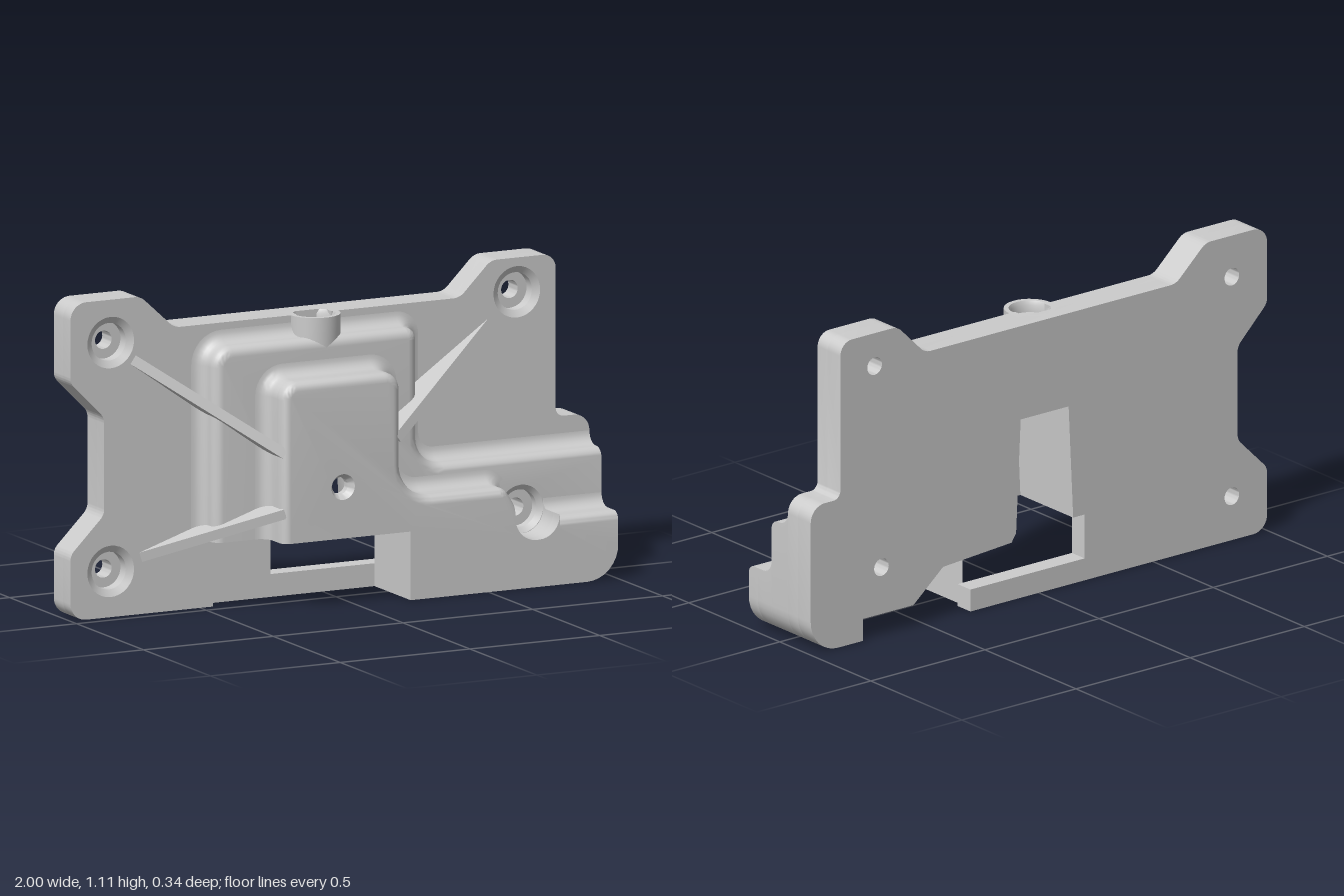
import * as THREE from 'three';
import { mergeGeometries, toCreasedNormals } from 'three/addons/utils/BufferGeometryUtils.js';

const material = new THREE.MeshStandardMaterial({ color: 0xcccccc });
const openMaterial = new THREE.MeshStandardMaterial({ color: 0xcccccc, side: THREE.DoubleSide });

// Outline from corners [x, y, radius, fillet]; edges marked with fillet move outwards by d
function outline(corners, d = 0) {
  const n = corners.length;
  const normal = (i) => {
    const a = corners[i], b = corners[(i + 1) % n];
    return new THREE.Vector2(b[1] - a[1], a[0] - b[0]).normalize();
  };
  const moved = corners.map(([x, y, r = 0, f = 0], i) => {
    const k = (i + n - 1) % n, f0 = corners[k][3] || 0;
    const a = normal(k), b = normal(i), det = a.x * b.y - a.y * b.x;
    const p = new THREE.Vector2(x + d * (f0 * b.y - f * a.y) / det, y + d * (a.x * f - b.x * f0) / det);
    const radius = r ? Math.max(0.004, r + (f && f0 ? d * Math.sign(det) : 0)) : 0;
    return { p, radius };
  });
  const points = [];
  moved.forEach(({ p, radius }, i) => {
    if (!radius) { points.push(p); return; }
    const u = moved[(i + n - 1) % n].p.clone().sub(p).normalize();
    const v = moved[(i + 1) % n].p.clone().sub(p).normalize();
    const turn = Math.PI - Math.acos(THREE.MathUtils.clamp(u.dot(v), -1, 1));
    const t = radius * Math.tan(turn / 2), w = Math.cos(turn / 2);
    const a = p.clone().addScaledVector(u, t), b = p.clone().addScaledVector(v, t);
    for (let j = 0; j <= 8; j++) {
      const s = j / 8, A = (1 - s) ** 2, P = 2 * s * (1 - s) * w, B = s * s, W = A + P + B;
      points.push(new THREE.Vector2((A * a.x + P * p.x + B * b.x) / W, (A * a.y + P * p.y + B * b.y) / W));
    }
  });
  return points;
}

function cap(points, z, holes = [], back = false) {
  const shape = new THREE.Shape(points);
  holes.forEach(([x, y, r]) => shape.holes.push(new THREE.Path().absarc(x, y, r, 0, Math.PI * 2, true)));
  const geo = new THREE.ShapeGeometry(shape, 16).translate(0, 0, z);
  if (back) geo.setIndex([...geo.index.array].reverse());
  return geo;
}

// Stack of outlines along z following a profile of [offset, z]
function layer(corners, profile, { front, back } = {}) {
  const rings = profile.map(([d]) => outline(corners, d));
  const m = rings[0].length, pos = [], index = [];
  rings.forEach((ring, k) => ring.forEach((p) => pos.push(p.x, p.y, profile[k][1])));
  for (let k = 0; k < rings.length - 1; k++) {
    for (let i = 0; i < m; i++) {
      const a = k * m + i, b = k * m + (i + 1) % m;
      index.push(a, b, b + m, a, b + m, a + m);
    }
  }
  const wall = new THREE.BufferGeometry();
  wall.setAttribute('position', new THREE.Float32BufferAttribute(pos, 3));
  wall.setIndex(index);
  const parts = [wall];
  if (front) parts.push(cap(rings.at(-1), profile.at(-1)[1], front));
  if (back) parts.push(cap(rings[0], profile[0][1], back, true));
  const plain = parts.map((g) => {
    const q = g.toNonIndexed();
    q.deleteAttribute('uv');
    q.deleteAttribute('normal');
    return q;
  });
  return toCreasedNormals(mergeGeometries(plain), 0.55);
}

// Quarter rounds: hollow at the foot of a step, rounded at its top
const foot = (z, r) => [0, 1, 2, 3, 4, 5, 6].map((i) => {
  const a = i / 6 * Math.PI / 2;
  return [r * (1 - Math.sin(a)), z + r * (1 - Math.cos(a))];
});
const brow = (z, r) => [0, 1, 2, 3, 4, 5, 6].map((i) => {
  const a = i / 6 * Math.PI / 2;
  return [-r * (1 - Math.cos(a)), z - r + r * Math.sin(a)];
});

export function createModel() {
  const group = new THREE.Group();
  const add = (name, geo, mat = material) => {
    const mesh = new THREE.Mesh(geo, mat);
    mesh.name = name;
    group.add(mesh);
    return mesh;
  };

  // Shared runs of corners: rear slot, lower cavity, outer edge of the plate
  const slot = [[-0.15, 0.24], [-0.13, 0.65], [0.08, 0.65], [0.1, 0.24]];
  const cavity = [[0.28, 0], [0.28, 0.2], [0.42, 0.19], [0.55, 0.08], [0.77, 0.08], [0.77, 0]];
  const leg = [[0.2, 0.24], [0.2, 0]];
  const rightEdge = [[1, 0, 0.12], [1, 0.54, 0.06], [0.87, 0.54, 0.03], [0.87, 1.11, 0.05],
    [0.62, 1.11, 0.06], [0.5, 0.99, 0.06]];
  const leftEdge = [[-0.6, 0.99, 0.06], [-0.73, 1.11, 0.06], [-1, 1.11, 0.06], [-1, 0.83, 0.05],
    [-0.87, 0.7, 0.05], [-0.87, 0.36, 0.05], [-1, 0.23, 0.05], [-1, 0, 0.06]];
  const bossCut = [[0.005, 0.99], [0.005, 0.93], [-0.125, 0.93], [-0.125, 0.99]];

  // Mounting holes
  const ears = [[-0.845, 0.96], [0.72, 0.99], [-0.845, 0.16]];
  const armHole = [0.69, 0.25];
  const drills = [...ears, armHole].map(([x, y]) => [x, y, 0.032]);

  // Base plate, with the thin bar closing the window below
  add('plateBack', layer([[0.3, 0], [0.3, 0.08], [-0.2, 0.08], [-0.2, 0.24], ...slot, [0.12, 0.21],
    ...cavity.slice(2), ...rightEdge, ...leftEdge], [[0, -0.17], [0, -0.1]], { front: drills, back: drills }));
  add('plateFront', layer([[-0.45, 0], [-0.45, 0.24], ...slot, ...leg, ...cavity, ...rightEdge, ...bossCut,
    ...leftEdge], [[0, -0.1], [0, -0.045]],
  { front: [...ears.map(([x, y]) => [x, y, 0.09]), [...armHole, 0.085]] }));

  // Lower step with its side arm
  add('lowerStep', layer([[-0.49, 0.24], ...slot, ...leg, ...cavity, [1, 0, 0.12], [1, 0.435, 0, 1],
    [0.295, 0.435, 0.1, 1], [0.295, 0.92, 0.04, 1], [-0.49, 0.92, 0.07, 1]].map((c, i, all) =>
    (i === all.length - 1 ? [c[0], c[1], c[2], 1] : c)),
  [...foot(-0.045, 0.045), ...brow(0.045, 0.035)], { front: [[...armHole, 0.085]] }));

  // Upper step: hollow lower half, closed front half
  const upperEdge = [[1, 0, 0.12], [1, 0.235, 0, 1], [0.775, 0.235], [0.775, 0.165, 0.08],
    [0.605, 0.165, 0.08], [0.605, 0.3, 0, 1], [0.57, 0.355, 0.04, 1], [0.165, 0.355, 0.12, 1],
    [0.165, 0.8, 0.06, 1], [-0.29, 0.8, 0.06, 1]];
  const screw = [-0.06, 0.42];
  add('upperStepBase', layer([[-0.29, 0.24], ...slot, ...leg, ...cavity, ...upperEdge],
    [...foot(0.045, 0.045), [0, 0.12]]));
  add('upperStepFront', layer([[-0.29, 0.24], ...leg, ...upperEdge],
    [[0, 0.12], ...brow(0.17, 0.03)], { front: [[...screw, 0.045]] }));
  add('slotFloor', cap(outline(slot), 0.12, [[...screw, 0.03]]), openMaterial);
  add('cavityFloor', cap(outline([...cavity].reverse()), 0.12), openMaterial);

  // Turned linings of the holes, profile [radius, z]
  const bore = (name, [x, y], profile) => {
    const geo = new THREE.LatheGeometry(profile.map(([r, z]) => new THREE.Vector2(r, z)), 32).rotateX(Math.PI / 2);
    add(name, toCreasedNormals(geo, 0.5), openMaterial).position.set(x, y, 0);
  };
  ears.forEach((p) => bore('mountingHole', p,
    [[0.09, -0.045], [0.066, -0.06], [0.066, -0.1], [0.032, -0.1], [0.032, -0.17]]));
  bore('armHole', armHole, [[0.085, 0.045], [0.066, 0.03], [0.066, 0], [0.032, 0], [0.032, -0.17]]);
  bore('screwHole', screw, [[0.045, 0.17], [0.03, 0.145], [0.03, 0.12]]);

  // Upright boss on the top edge
  const boss = new THREE.LatheGeometry([[0.03, 0.65], [0.03, 0.95], [0.066, 0.95], [0.066, 0.975],
    [0.073, 0.99], [0.09, 0.99], [0.09, 0.85]].map(([r, y]) => new THREE.Vector2(r, y)), 32);
  add('topBoss', toCreasedNormals(boss, 0.5), openMaterial).position.set(-0.06, 0, -0.045);

  // Sloping ribs from the ears up to the upper step
  const width = 0.035;
  [[-0.77, 0.9, -0.28, 0.555], [0.63, 0.9, 0.155, 0.57], [-0.74, 0.195, -0.28, 0.345]].forEach(([x0, y0, x1, y1]) => {
    const along = new THREE.Vector3(x1 - x0, y1 - y0, 0), length = along.length();
    along.normalize();
    const out = new THREE.Vector3(0, 0, 1), side = along.clone().cross(out);
    const shape = new THREE.Shape([[0, -0.05], [length, -0.05], [length, 0.165]].map(([a, b]) => new THREE.Vector2(a, b)));
    const geo = new THREE.ExtrudeGeometry(shape, { depth: width, bevelEnabled: false }).translate(0, 0, -width / 2);
    geo.applyMatrix4(new THREE.Matrix4().makeBasis(along, out, side));
    add('rib', geo.translate(x0, y0, 0));
  });
  return group;
}
